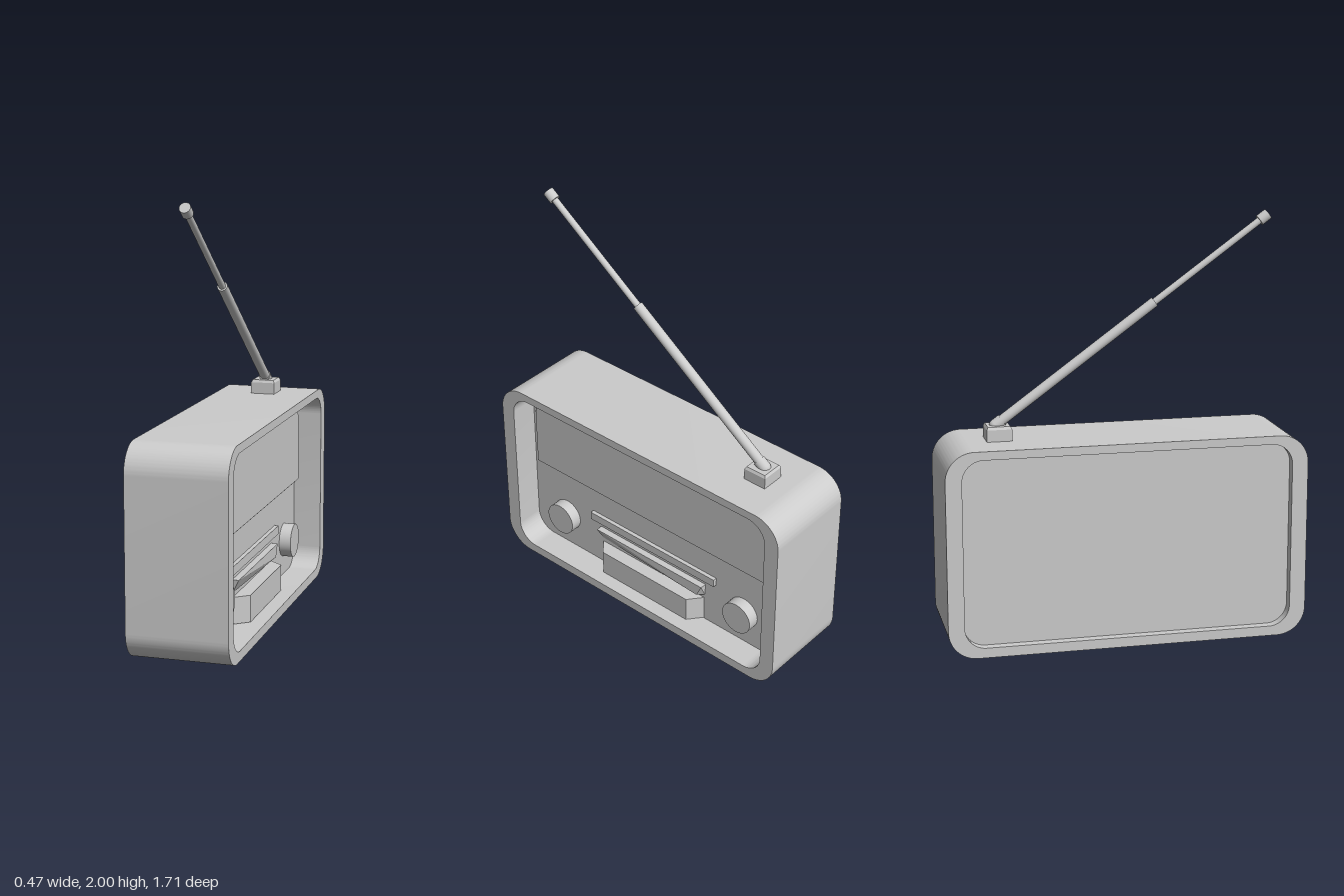
import * as THREE from 'three';
import { toCreasedNormals } from 'three/addons/utils/BufferGeometryUtils.js';
import { ConvexGeometry } from 'three/addons/geometries/ConvexGeometry.js';

const material = new THREE.MeshStandardMaterial({ color: 0xcccccc });

// Rounded outline in (u, y), where u runs along -z; bottom corners can differ from the top
function outline(halfWidth, y0, y1, rTop, rBottom = rTop, path = new THREE.Shape()) {
  const w = halfWidth;
  path.moveTo(-w + rBottom, y0);
  path.lineTo(w - rBottom, y0);
  if (rBottom) path.absarc(w - rBottom, y0 + rBottom, rBottom, -Math.PI / 2, 0);
  path.lineTo(w, y1 - rTop);
  path.absarc(w - rTop, y1 - rTop, rTop, 0, Math.PI / 2);
  path.lineTo(-w + rTop, y1);
  path.absarc(-w + rTop, y1 - rTop, rTop, Math.PI / 2, Math.PI);
  path.lineTo(-w, y0 + rBottom);
  if (rBottom) path.absarc(-w + rBottom, y0 + rBottom, rBottom, Math.PI, Math.PI * 1.5);
  return path;
}

// Extrude an outline sideways from x0 to x1
function slab(shape, x0, x1, bevel = 0) {
  const g = new THREE.ExtrudeGeometry(shape, {
    depth: x1 - x0 - bevel, curveSegments: 16, bevelEnabled: bevel > 0,
    bevelSize: bevel, bevelThickness: bevel, bevelOffset: -bevel, bevelSegments: 1,
  });
  g.rotateY(Math.PI / 2).translate(x0, 0, 0);
  return toCreasedNormals(g, 0.5);
}

export function createModel() {
  const radio = new THREE.Group();
  radio.name = 'radio';
  const add = (name, geometry, parent = radio) => {
    const mesh = new THREE.Mesh(geometry, material);
    mesh.name = name;
    parent.add(mesh);
    return mesh;
  };

  // Case: a rounded sleeve closed by a recessed panel
  const sleeve = outline(0.853, 0, 0.975, 0.135);
  sleeve.holes.push(outline(0.777, 0.047, 0.935, 0.1, 0.1, new THREE.Path()));
  add('case', slab(sleeve, -0.235, 0.235));
  add('innerPanel', slab(outline(0.777, 0.047, 0.935, 0.1), -0.19, 0.097));

  // Dial window and tuning strip
  add('dialWindow', slab(outline(0.74, 0.497, 0.912, 0.12, 0), 0.09, 0.13, 0.008));
  const strip = add('tuningStrip', new THREE.BoxGeometry(0.04, 0.042, 0.79));
  strip.position.set(0.097, 0.319, -0.004);

  // Knobs
  for (const side of [1, -1]) {
    const knob = add(side > 0 ? 'leftKnob' : 'rightKnob', new THREE.CylinderGeometry(0.083, 0.083, 0.07, 40));
    knob.rotation.z = -Math.PI / 2;
    knob.position.set(0.12, 0.225, side * 0.568);
  }

  // Wedge with a slanted underside
  const v = (x, y, z) => new THREE.Vector3(x, y, z);
  add('wedge', new ConvexGeometry([
    v(0.08, 0.265, 0.34), v(0.08, 0.265, -0.335), v(0.08, 0.2, 0.33), v(0.08, 0.2, -0.33),
    v(0.097, 0.2, 0.33), v(0.097, 0.2, -0.33), v(0.097, 0.265, -0.335),
    v(0.13, 0.265, 0.34), v(0.13, 0.265, -0.333), v(0.13, 0.205, -0.305),
  ]));

  // Lower block with angled ends
  const corners = [];
  for (const y of [0.05, 0.178]) {
    for (const s of [1, -1]) corners.push(v(0.08, y, s * 0.327), v(0.097, y, s * 0.327), v(0.166, y, s * 0.27));
  }
  add('lowerBlock', new ConvexGeometry(corners));

  // Antenna mount, slightly bevelled at the top
  const mount = [];
  for (const [y, r] of [[0.96, 0.059], [1.03, 0.059], [1.043, 0.052]]) {
    for (const sx of [1, -1]) for (const sz of [1, -1]) mount.push(v(sx * r, y, -0.575 + sz * r));
  }
  add('antennaMount', new ConvexGeometry(mount));

  // Telescopic antenna, leaning towards the front
  const antenna = new THREE.Group();
  antenna.name = 'antenna';
  antenna.position.set(0, 1.04, -0.585);
  antenna.rotation.x = Math.atan2(0.708 + 0.585, 1.98 - 1.04);
  radio.add(antenna);
  const rod = (name, radius, from, to) => {
    add(name, new THREE.CylinderGeometry(radius, radius, to - from, 24), antenna).position.y = (from + to) / 2;
  };
  add('antennaPivot', new THREE.SphereGeometry(0.029, 24, 16), antenna);
  rod('antennaCollar', 0.029, 0, 0.04);
  rod('lowerRod', 0.024, 0, 0.93);
  rod('upperRod', 0.016, 0.92, 1.57);
  rod('antennaTip', 0.026, 1.548, 1.599);
  return radio;
}
